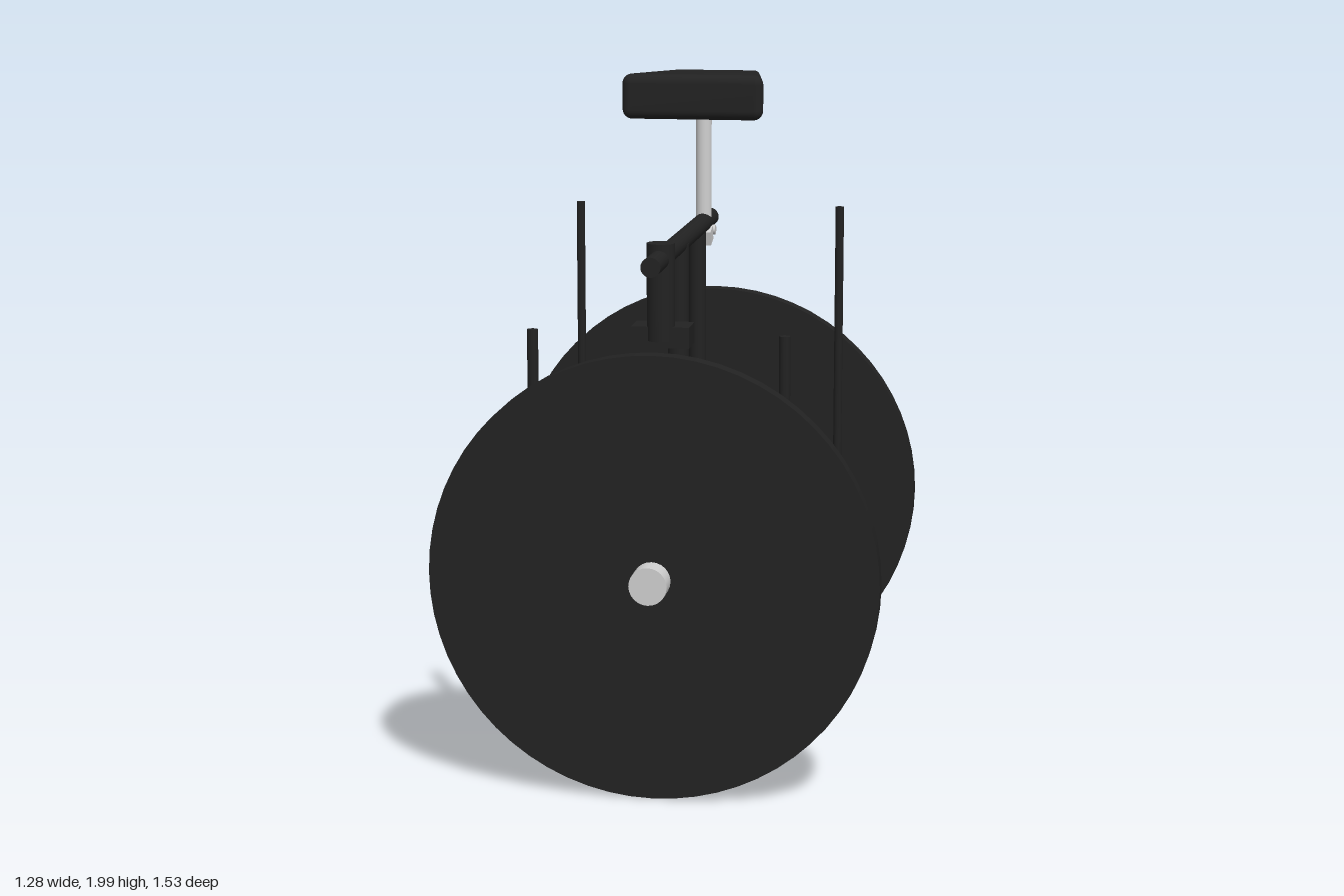
import * as THREE from 'three';
import { mergeVertices } from 'three/addons/utils/BufferGeometryUtils.js';
import { RoundedBoxGeometry } from 'three/addons/geometries/RoundedBoxGeometry.js';

const mat = (name, color) => {
  const m = new THREE.MeshStandardMaterial({ color });
  m.name = name;
  return m;
};

export function createModel() {
  const model = new THREE.Group();
  model.name = 'cycle';
  const black = mat('black', 0x222222);
  const silver = mat('silver', 0xd0d0d0);
  const steel = mat('steel', 0x8c9196);

  const add = (name, geometry, material, x = 0, y = 0, z = 0) => {
    const mesh = new THREE.Mesh(geometry, material);
    mesh.name = name;
    mesh.position.set(x, y, z);
    model.add(mesh);
    return mesh;
  };

  // Round bar between two points
  const bar = (name, material, radius, from, to, sides = 20) => {
    const a = new THREE.Vector3(...from), b = new THREE.Vector3(...to);
    const dir = b.clone().sub(a);
    const mesh = add(name, new THREE.CylinderGeometry(radius, radius, dir.length(), sides), material);
    mesh.position.copy(a).add(b).multiplyScalar(0.5);
    mesh.quaternion.setFromUnitVectors(new THREE.Vector3(0, 1, 0), dir.normalize());
    return mesh;
  };

  // Disc wheels and hubs
  const axle = 0.645;
  bar('frontWheel', black, 0.64, [0, axle, 0.644], [0, axle, 0.696], 64);
  bar('rearWheel', black, 0.64, [0, axle, -0.543], [0, axle, -0.491], 64);
  bar('frontHub', silver, 0.054, [0, axle, 0.575], [0, axle, 0.763], 24);
  bar('rearHub', silver, 0.054, [0, axle, -0.64], [0, axle, -0.39], 24);
  bar('sideSprocket', steel, 0.065, [0.262, 0.65, -0.517], [0.318, 0.65, -0.517], 24);

  // Frame tubes
  bar('topTube', black, 0.028, [0, 1.53, -0.375], [0, 1.53, 0.7]);
  bar('downTube', black, 0.031, [0, 0.31, 0.23], [0, 1.53, 0.23]);
  bar('seatTube', black, 0.026, [0, 0.49, -0.13], [0, 1.53, -0.13]);
  bar('headTube', black, 0.04, [0, 1.3, 0.53], [0, 1.575, 0.53]);
  add('forkCrown', new THREE.BoxGeometry(0.165, 0.06, 0.1), black, 0, 1.31, 0.5);

  // Fork blades and rear stays on both sides
  for (const [side, s] of [['left', 1], ['right', -1]]) {
    bar(side + 'ForkBlade', black, 0.016, [s * 0.357, 0.63, 0.583], [s * 0.357, 1.33, 0.583], 12);
    bar(side + 'SeatStay', black, 0.013, [s * 0.407, 0.58, -0.367], [s * 0.407, 1.57, -0.367], 12);
    bar(side + 'ChainStay', black, 0.018, [s * 0.405, 0.58, -0.67], [s * 0.405, 0.58, 0.115], 12);
  }

  // Drive plate and crank axle
  add('drivePlate', new THREE.BoxGeometry(0.012, 0.386, 1.044), steel, 0, 0.518, -0.24);
  bar('crankAxle', black, 0.038, [-0.04, 0.515, -0.038], [0.04, 0.515, -0.038]);

  // Seat post and its clamp
  bar('seatPost', silver, 0.024, [0, 1.54, -0.255], [0, 1.9, -0.255]);
  const clamp = add('seatClamp', new THREE.BoxGeometry(0.06, 0.045, 0.05), silver, 0, 1.492, -0.222);
  clamp.rotation.x = 0.3;
  bar('clampBolt', silver, 0.015, [-0.035, 1.505, -0.265], [0.035, 1.505, -0.265], 12);

  // Saddle: rounded block narrowing and thinning to the rear
  let saddle = new RoundedBoxGeometry(0.43, 0.137, 0.53, 4, 0.03);
  saddle.deleteAttribute('normal');
  saddle.deleteAttribute('uv');
  saddle = mergeVertices(saddle, 1e-4);
  const p = saddle.attributes.position;
  for (let i = 0; i < p.count; i++) {
    const t = p.getZ(i) / 0.53 + 0.5;
    p.setX(i, p.getX(i) * THREE.MathUtils.lerp(0.62, 1, t));
    p.setY(i, p.getY(i) * THREE.MathUtils.lerp(0.6, 1, t));
  }
  saddle.computeVertexNormals();
  add('saddle', saddle, black, 0, 1.931, -0.275);

  return model;
}
